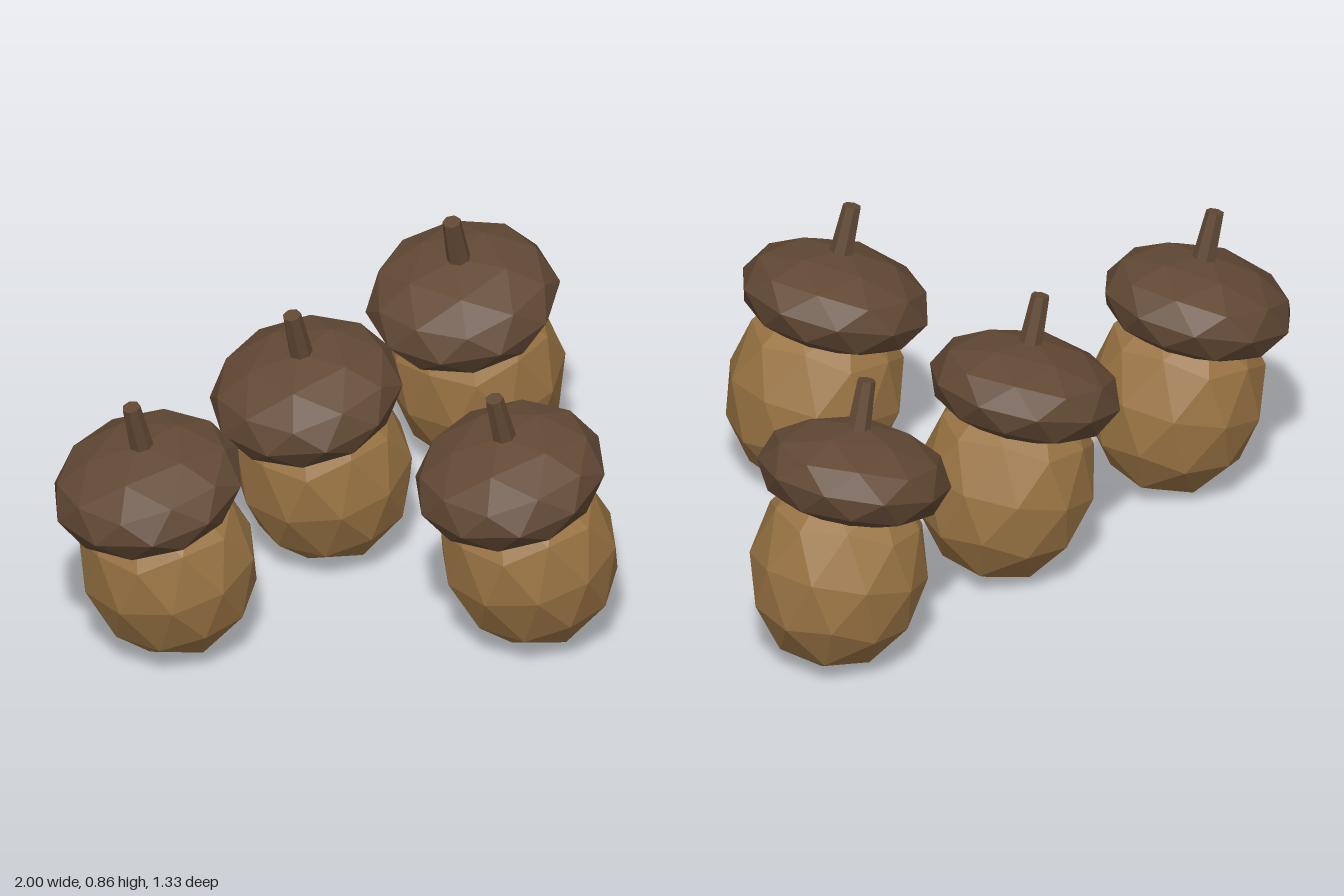
import * as THREE from 'three';

const rad = THREE.MathUtils.degToRad;

// Faceted ball with one corner at each pole, scaled to a spheroid
function facetedSpheroid(radius, halfHeight) {
  const g = new THREE.IcosahedronGeometry(1, 1);
  g.rotateX(-Math.atan((1 + Math.sqrt(5)) / 2)); // bring a corner to the top
  g.rotateY(Math.PI / 2);
  g.scale(radius, halfHeight, radius);
  g.computeVertexNormals(); // unshared corners give flat facets
  return g;
}

function facetedStem(topRadius, bottomRadius, height) {
  const g = new THREE.CylinderGeometry(topRadius, bottomRadius, height, 7).toNonIndexed();
  g.computeVertexNormals();
  return g;
}

export function createModel() {
  const nutMaterial = new THREE.MeshStandardMaterial({ color: 0x9a7444 });
  nutMaterial.name = 'tanNut';
  const barkMaterial = new THREE.MeshStandardMaterial({ color: 0x614834 });
  barkMaterial.name = 'brownBark';

  const nutGeometry = facetedSpheroid(0.26, 0.31);
  const capGeometry = facetedSpheroid(0.284, 0.148);
  const stemGeometry = facetedStem(0.027, 0.038, 0.2);

  // One acorn, its origin at the centre of the nut, leaning towards -x
  function acorn(x, z, yaw) {
    const parts = [
      ['nut', nutGeometry, nutMaterial, 0, 0],
      ['cap', capGeometry, barkMaterial, 0, 0.282],
      ['stem', stemGeometry, barkMaterial, 0.014, 0.469],
    ];
    const group = new THREE.Group();
    group.name = 'acorn';
    for (const [name, geometry, material, px, py] of parts) {
      const mesh = new THREE.Mesh(geometry, material);
      mesh.name = name;
      mesh.position.set(px, py, 0);
      group.add(mesh);
    }
    group.position.set(x, 0.303, z);
    group.rotation.set(0, rad(yaw), rad(15), 'YXZ');
    return group;
  }

  // Three acorns in a back row and one in front
  const model = new THREE.Group();
  model.name = 'acorns';
  const layout = [
    [-0.655, -0.368, -13],
    [0.043, -0.358, -4],
    [0.742, -0.36, 7],
    [0.043, 0.405, -10],
  ];
  for (const [x, z, yaw] of layout) model.add(acorn(x, z, yaw));
  return model;
}
